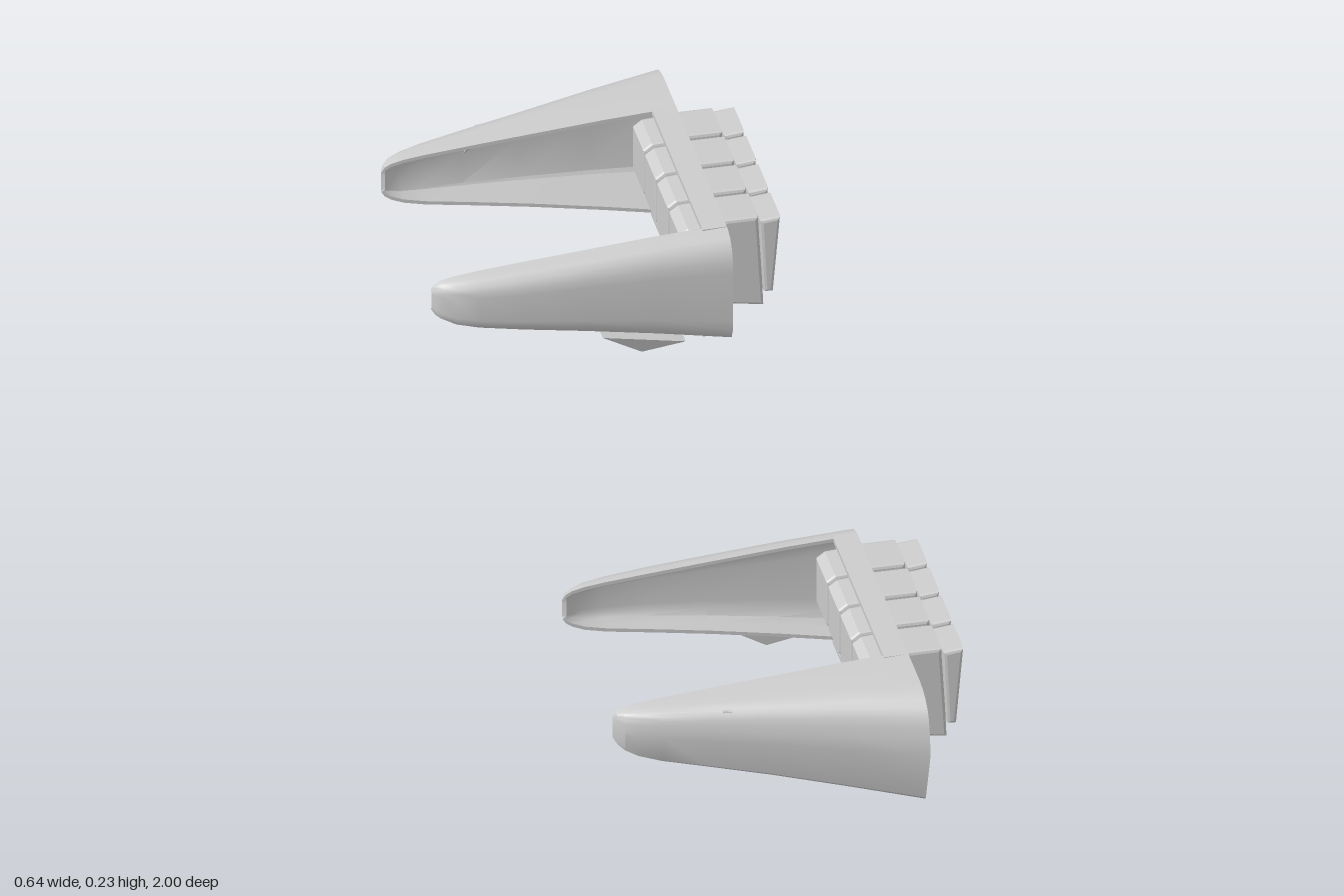
import * as THREE from 'three';
import { toCreasedNormals } from 'three/addons/utils/BufferGeometryUtils.js';
import { ConvexGeometry } from 'three/addons/geometries/ConvexGeometry.js';

const grey = new THREE.MeshStandardMaterial({ color: 0xcccccc, side: THREE.DoubleSide });
grey.name = 'light grey';

// Side outline of a panel: x, bottom y, top y
const OUTLINE = [
  [-0.32, 0.145, 0.188], [-0.314, 0.135, 0.197], [-0.303, 0.126, 0.203], [-0.28, 0.115, 0.208],
  [-0.24, 0.104, 0.212], [-0.16, 0.088, 0.217], [-0.05, 0.065, 0.223], [0.08, 0.035, 0.23], [0.214, 0.002, 0.234],
];

// Bulge of each panel along the same stations, and its section (share of depth, share of height)
const OUTER = {
  plane: 0.832, crease: 0.4,
  depth: [0.004, 0.017, 0.029, 0.04, 0.053, 0.073, 0.1, 0.134, 0.168],
  section: [[0, 1], [0.55, 1], [0.68, 0.985], [0.78, 0.955], [0.86, 0.91], [0.92, 0.85], [0.955, 0.77],
    [0.98, 0.68], [1, 0.53], [0.8, 0.04], [0.76, 0.01], [0.7, 0], [0, 0]],
};
const INNER = {
  plane: 0.475, crease: 0.55,
  depth: [0.004, 0.013, 0.021, 0.031, 0.038, 0.045, 0.048, 0.05, 0.052],
  section: [[0, 1], [0.3, 0.99], [0.6, 0.96], [0.85, 0.89], [0.97, 0.8], [1, 0.7], [1, 0.25],
    [0.95, 0.15], [0.8, 0.07], [0.5, 0.02], [0, 0]],
};

function mesh(name, geometry) {
  const m = new THREE.Mesh(geometry, grey);
  m.name = name;
  return m;
}

// Hollow panel, open towards its plane; dir is the z direction it bulges in
function shell({ plane, depth, section, crease }, side, dir) {
  const wall = 0.007;
  const positions = [];
  const index = [];
  const k = section.length;
  const n = 2 * k;
  OUTLINE.forEach(([x, bottom, top], i) => {
    for (const [d, h] of section) {
      positions.push(x, bottom + (top - bottom) * h, side * plane + dir * d * depth[i]);
    }
    const inDepth = Math.max(0, depth[i] - wall);
    const inX = i === 0 ? x + wall : x;
    for (const [d, h] of [...section].reverse()) {
      positions.push(inX, bottom + wall + (top - bottom - 2 * wall) * h, side * plane + dir * d * inDepth);
    }
  });
  const quad = (a, b, c, d) => (dir > 0 ? index.push(a, b, c, a, c, d) : index.push(a, c, b, a, d, c));
  for (let i = 0; i < OUTLINE.length - 1; i++) {
    for (let j = 0; j < n; j++) {
      const j2 = (j + 1) % n;
      quad(i * n + j, i * n + j2, (i + 1) * n + j2, (i + 1) * n + j);
    }
  }
  // Wall thickness at the tip and at the rear edge
  const last = (OUTLINE.length - 1) * n;
  for (let j = 0; j < k - 1; j++) {
    quad(j + 1, j, n - 1 - j, n - 2 - j);
    quad(last + j, last + j + 1, last + n - 2 - j, last + n - 1 - j);
  }
  const g = new THREE.BufferGeometry();
  g.setAttribute('position', new THREE.Float32BufferAttribute(positions, 3));
  g.setIndex(index);
  return toCreasedNormals(g, crease);
}

// Bevelled block from a side profile, centred on z = 0
function block(points, width) {
  const b = 0.006;
  const g = new THREE.ExtrudeGeometry(new THREE.Shape(points.map(([x, y]) => new THREE.Vector2(x, y))), {
    depth: width - 2 * b, bevelEnabled: true, bevelThickness: b, bevelSize: b, bevelOffset: -b, bevelSegments: 2,
  });
  g.translate(0, 0, b - width / 2);
  return g;
}

function convex(points, side) {
  return new ConvexGeometry(points.map(([x, y, z]) => new THREE.Vector3(x, y, z * side)));
}

function strap(name, y, side) {
  const m = mesh(name, new THREE.BoxGeometry(0.044, 0.009, 0.372));
  m.position.set(0.192, y, side * 0.654);
  return m;
}

function createUnit(side) {
  const unit = new THREE.Group();
  unit.name = side > 0 ? 'frontGuard' : 'backGuard';

  // Two long panels joined by straps
  unit.add(mesh('outerPanel', shell(OUTER, side, side)));
  unit.add(mesh('innerPanel', shell(INNER, side, -side)));
  unit.add(strap('topStrap', 0.2295, side), strap('bottomStrap', 0.0065, side));

  // Raised wedge on the outer panel
  unit.add(mesh('panelWedge', convex([
    [-0.155, 0.153, 0.898], [-0.135, 0.213, 0.87], [-0.135, 0.212, 0.897],
    [-0.04, 0.213, 0.9], [-0.05, 0.2, 0.918], [-0.145, 0.16, 0.908],
  ], side)));

  // Small keel under the inner panel
  unit.add(mesh('keel', convex([
    [-0.02, 0.06, 0.43], [-0.02, 0.06, 0.462], [0.13, 0.026, 0.43], [0.13, 0.026, 0.462],
    [0.053, 0.01, 0.44], [0.053, 0.01, 0.458],
  ], side)));

  // Row of four folded segments, each in three blocks
  for (let i = 0; i < 4; i++) {
    const finger = new THREE.Group();
    finger.name = 'segment' + (i + 1);
    finger.position.z = side * (0.53 + i * 0.087);
    finger.add(
      mesh('knuckle', block([[0.134, 0.12], [0.175, 0.045], [0.205, 0.045], [0.205, 0.224], [0.15, 0.222], [0.134, 0.21]], 0.082)),
      mesh('middleBlock', block([[0.19, 0.052], [0.287, 0.033], [0.284, 0.1], [0.277, 0.226], [0.19, 0.229]], 0.078)),
      mesh('endPlate', block([[0.287, 0.062], [0.304, 0.06], [0.317, 0.22], [0.28, 0.217]], 0.08)),
    );
    unit.add(finger);
  }
  return unit;
}

export function createModel() {
  const model = new THREE.Group();
  model.name = 'guardPair';
  model.add(createUnit(1), createUnit(-1));
  return model;
}
